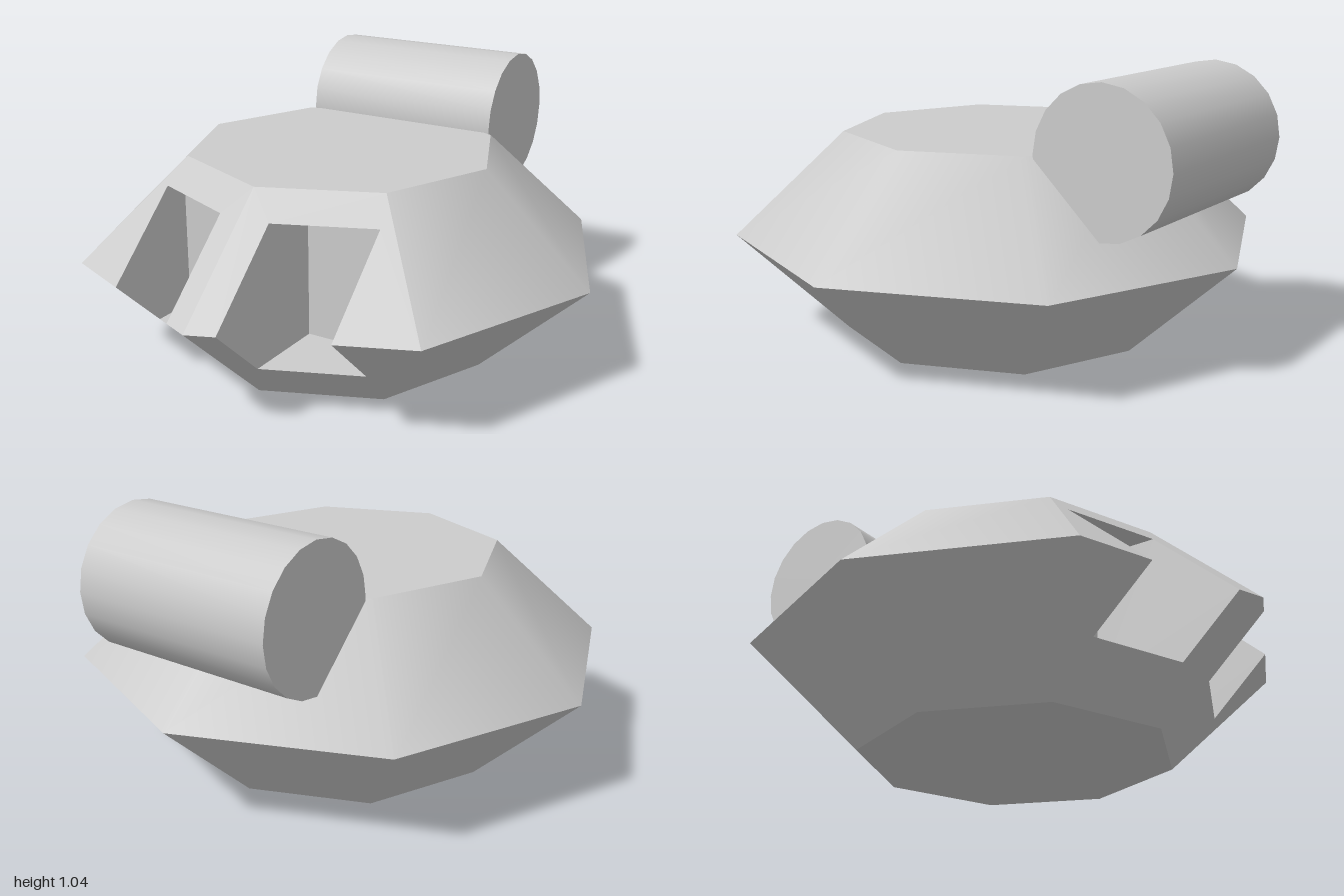
import * as THREE from 'three';

const RIM = 1, CAP = 0.59, MID = 0.385, TOP = 0.77;
const WIN = { x0: 0.1, x1: 0.445, y0: 0.175, y1: 0.675, back: 0.41 };
const SLOPE = Math.tan(Math.PI / 8);

// depth of the two front facets at a given x and y
const frontZ = (x, y) => RIM - (RIM - CAP) * Math.abs(y - MID) / MID - SLOPE * Math.abs(x);

const flat = (points) =>
  new THREE.ShapeGeometry(new THREE.Shape(points.map(([a, b]) => new THREE.Vector2(a, b))));

export function createModel() {
  const group = new THREE.Group();
  const solid = new THREE.MeshStandardMaterial({ color: 0xcccccc });
  const thin = new THREE.MeshStandardMaterial({ color: 0xcccccc, side: THREE.DoubleSide });
  const add = (name, geometry, material = solid, parent = group) => {
    const mesh = new THREE.Mesh(geometry, material);
    mesh.name = name;
    parent.add(mesh);
    return mesh;
  };

  // sides and back of the octagonal hull: six facets above and below the rim
  const band = (rTop, rBottom) =>
    new THREE.CylinderGeometry(rTop, rBottom, MID, 8 * 0.75, 1, true, Math.PI / 4, Math.PI * 1.5);
  add('upperHull', band(CAP, RIM)).position.y = MID * 1.5;
  add('lowerHull', band(RIM, CAP)).position.y = MID * 0.5;

  // flat roof and base
  add('roof', new THREE.CircleGeometry(CAP, 8).rotateX(-Math.PI / 2)).position.y = TOP;
  add('base', new THREE.CircleGeometry(CAP, 8).rotateX(Math.PI / 2));

  const { x0, x1, y0, y1, back } = WIN;
  const corner = Math.SQRT1_2;
  for (const s of [1, -1]) {
    const side = s > 0 ? 'left' : 'right';

    // front facets, notched around the window
    for (const [part, yCap, yWin] of [['Upper', TOP, y1], ['Lower', 0, y0]]) {
      const g = flat([
        [0, yCap], [CAP * corner, yCap], [RIM * corner, MID], [x1, MID],
        [x1, yWin], [x0, yWin], [x0, MID], [0, MID],
      ].map(([x, y]) => [s * x, y]));
      const p = g.attributes.position;
      for (let i = 0; i < p.count; i++) p.setZ(i, frontZ(p.getX(i), p.getY(i)));
      g.computeVertexNormals();
      add(`${side}${part}FrontFacet`, g);
    }

    // window recess: back, two side walls, floor and ceiling
    const recess = new THREE.Group();
    recess.name = `${side}WindowRecess`;
    group.add(recess);
    add('recessBack', new THREE.PlaneGeometry(x1 - x0, y1 - y0), thin, recess)
      .position.set(s * (x0 + x1) / 2, (y0 + y1) / 2, back);
    for (const x of [x0, x1]) {
      const wall = flat([
        [back, y0], [frontZ(x, y0), y0], [frontZ(x, MID), MID], [frontZ(x, y1), y1], [back, y1],
      ]).rotateY(-Math.PI / 2);
      add('recessWall', wall, thin, recess).position.x = s * x;
    }
    for (const y of [y0, y1]) {
      const ledge = flat([
        [s * x0, back], [s * x1, back], [s * x1, frontZ(x1, y)], [s * x0, frontZ(x0, y)],
      ]).rotateX(Math.PI / 2);
      add(y === y0 ? 'recessFloor' : 'recessCeiling', ledge, thin, recess).position.y = y;
    }
  }

  // drum lying across the rear edge of the roof
  const drum = add('rearDrum', new THREE.CylinderGeometry(0.263, 0.263, 0.8, 20).rotateZ(Math.PI / 2));
  drum.position.set(0, 0.775, -0.695);

  return group;
}
